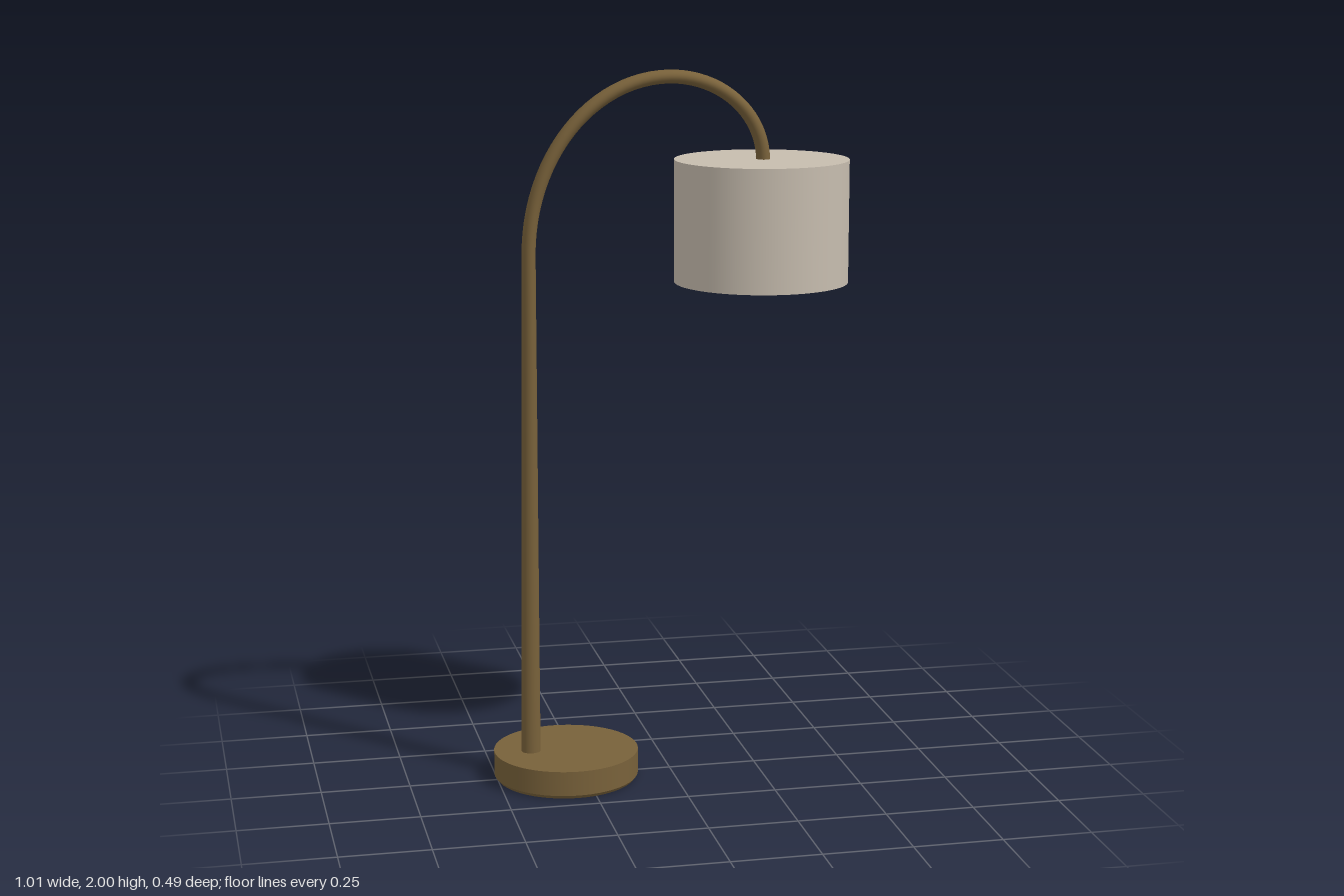
import * as THREE from 'three';

const brass = new THREE.MeshStandardMaterial({ color: 0x78613a });
brass.name = 'antique brass';
const linen = new THREE.MeshStandardMaterial({ color: 0xc6bcae, side: THREE.DoubleSide });
linen.name = 'linen';

const add = (parent, name, geometry, material) => {
  const mesh = new THREE.Mesh(geometry, material);
  mesh.name = name;
  parent.add(mesh);
  return mesh;
};

// Tapered tube with an oval section, swept along a curve in the xy plane
function sweepArm(points, sides) {
  const position = [], index = [];
  const rows = points.length;
  points.forEach((p, i) => {
    const a = points[Math.max(i - 1, 0)], b = points[Math.min(i + 1, rows - 1)];
    const t = b.clone().sub(a).normalize();
    const rise = Math.min(p.y / 1.5, 1);
    const end = i / (rows - 1);
    const rIn = i === 0 ? 0.0275 : 0.0275 - 0.0085 * rise;
    const rZ = 0.0265 - 0.003 * end * end;
    for (let j = 0; j < sides; j++) {
      const ang = (j / sides) * Math.PI * 2;
      const n = Math.cos(ang) * rIn;
      position.push(p.x + t.y * n, p.y - t.x * n, -Math.sin(ang) * rZ);
      if (i < rows - 1) {
        const k = (j + 1) % sides, r = i * sides;
        index.push(r + j, r + k, r + sides + j, r + k, r + sides + k, r + sides + j);
      }
    }
  });
  const g = new THREE.BufferGeometry();
  g.setAttribute('position', new THREE.Float32BufferAttribute(position, 3));
  g.setIndex(index);
  g.computeVertexNormals();
  return g;
}

export function createModel() {
  const lamp = new THREE.Group();
  lamp.name = 'archedLamp';

  // Round foot with a small bevel underneath
  const base = new THREE.Group();
  base.name = 'base';
  base.position.x = -0.302;
  lamp.add(base);
  const R = 0.205;
  add(base, 'baseDisc', new THREE.CylinderGeometry(R, R, 0.07, 64), brass).position.y = 0.045;
  add(base, 'baseBevel', new THREE.CylinderGeometry(R, R - 0.008, 0.01, 64), brass).position.y = 0.005;

  // Upright, then two quarter ellipses over to the shade
  const path = [];
  for (let i = 0; i < 8; i++) path.push(new THREE.Vector2(-0.403 + 0.009 * i / 8, 0.07 + 1.43 * i / 8));
  for (let i = 0; i <= 24; i++) {
    const a = (i / 24) * Math.PI / 2;
    path.push(new THREE.Vector2(-0.394 * Math.cos(a), 1.5 + 0.481 * Math.sin(a)));
  }
  for (let i = 1; i <= 20; i++) {
    const a = (i / 20) * Math.PI / 2;
    path.push(new THREE.Vector2(0.265 * Math.sin(a), 1.745 + 0.236 * Math.cos(a)));
  }
  add(lamp, 'arm', sweepArm(path, 24), brass);

  // Drum shade, open below, with two pin holes in its top
  const shade = new THREE.Group();
  shade.name = 'shade';
  shade.position.set(0.261, 0, 0);
  lamp.add(shade);
  const r = 0.243;
  add(shade, 'shadeWall', new THREE.CylinderGeometry(r, r, 0.342, 72, 1, true), linen).position.y = 1.579;
  const disc = new THREE.Shape().absarc(0, 0, r, 0, Math.PI * 2);
  for (const z of [-0.053, 0.053]) {
    disc.holes.push(new THREE.Path().absarc(0, z, 0.005, 0, Math.PI * 2, true));
  }
  const top = add(shade, 'shadeTop', new THREE.ShapeGeometry(disc, 36), linen);
  top.rotation.x = -Math.PI / 2;
  top.position.y = 1.75;

  return lamp;
}
